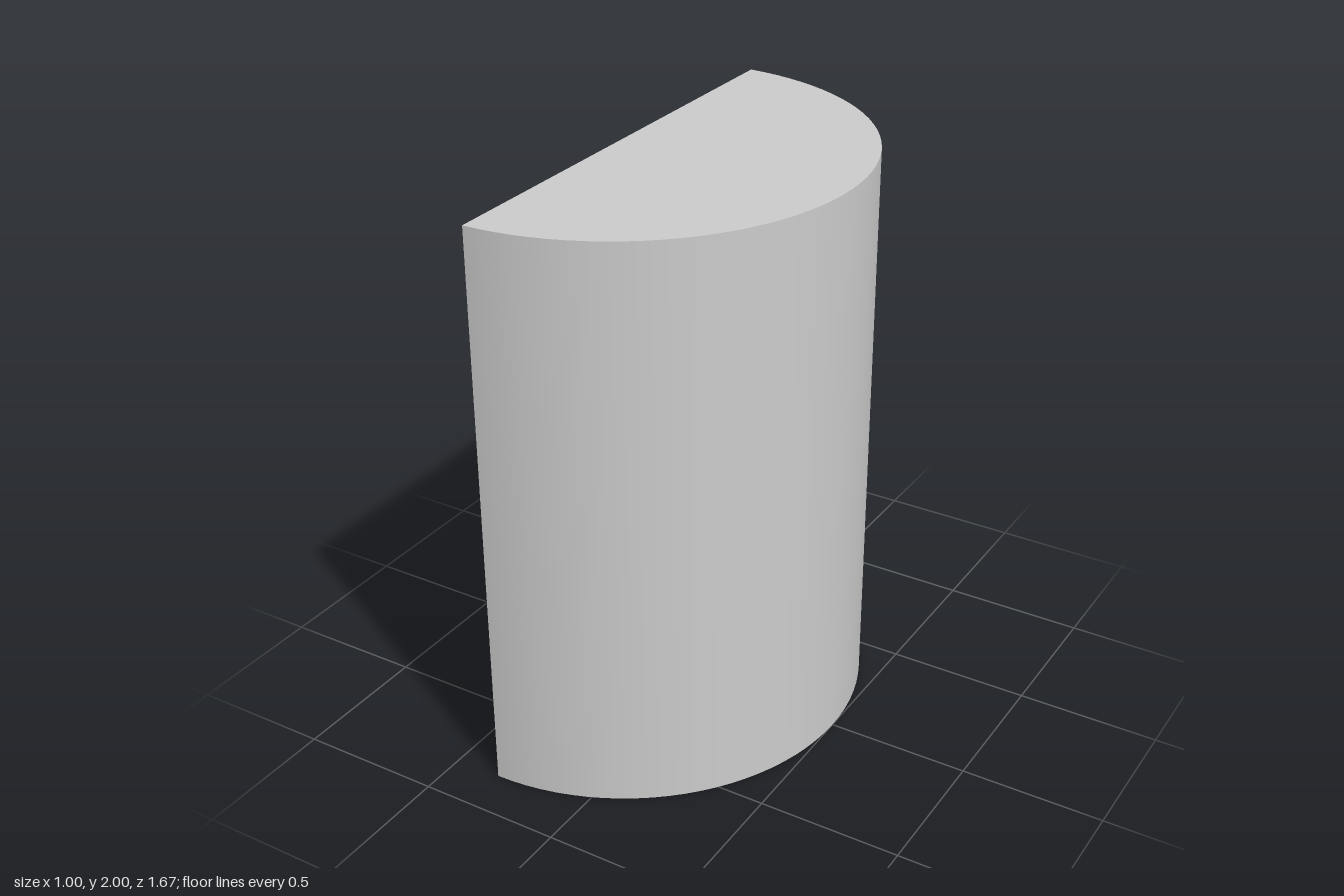
import * as THREE from 'three';

export function createModel() {
  const model = new THREE.Group();
  const axisX = -1 / 3; // the open flat side lies in this plane
  const material = new THREE.MeshStandardMaterial({ color: 0xcccccc });
  const shellMaterial = new THREE.MeshStandardMaterial({ color: 0xcccccc, side: THREE.DoubleSide });

  function addPart(name, geometry, mat = material) {
    const mesh = new THREE.Mesh(geometry, mat);
    mesh.name = name;
    mesh.position.set(axisX, 1, 0);
    model.add(mesh);
  }

  // Hollow half cylinder with half-disc floor and lid, open toward -x
  addPart('halfCylinderShell',
    new THREE.CylinderGeometry(5 / 6, 5 / 6, 2, 48, 1, false, 0, Math.PI), shellMaterial);

  // Upright strip, flat plate and thin crossbar, all centred on the open plane
  addPart('uprightPost', new THREE.BoxGeometry(0.033, 1.667, 0.133));
  addPart('plate', new THREE.BoxGeometry(0.333, 0.033, 0.2));
  addPart('crossbar', new THREE.BoxGeometry(0.067, 0.025, 0.267));

  return model;
}
